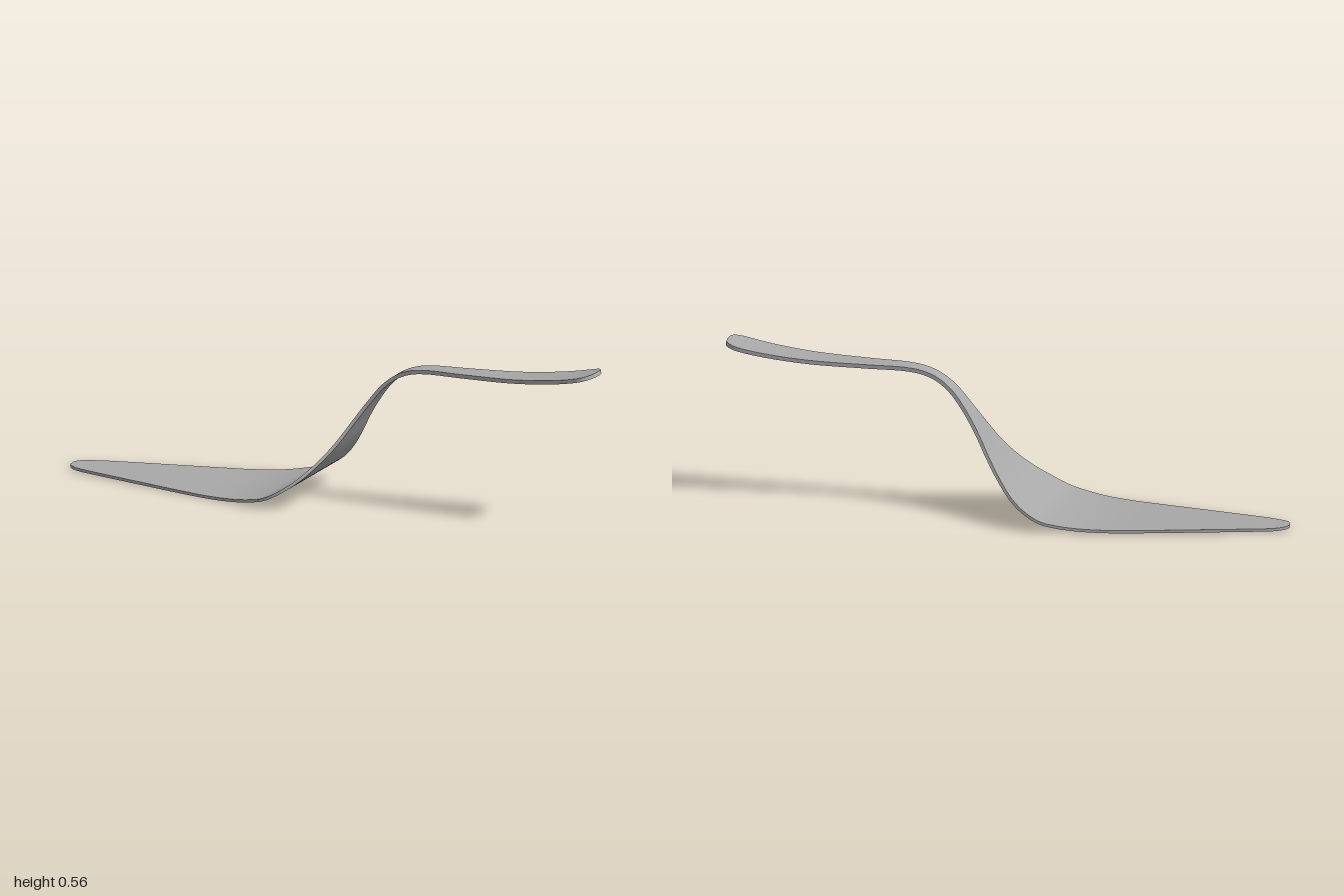
import * as THREE from 'three';

// Stations along the server: x, centreline height, half width
const STATIONS = [
  [-1, 0.012, 0], [-0.996, 0.012, 0.022], [-0.98, 0.012, 0.043], [-0.95, 0.011, 0.059], [-0.9, 0.011, 0.075],
  [-0.7, 0.009, 0.124], [-0.5, 0.007, 0.171], [-0.4, 0.007, 0.193], [-0.3, 0.012, 0.214],
  [-0.22, 0.023, 0.232], [-0.16, 0.038, 0.239], [-0.1, 0.07, 0.229], [-0.05, 0.107, 0.201],
  [0, 0.158, 0.157], [0.05, 0.222, 0.111], [0.1, 0.3, 0.071], [0.15, 0.373, 0.047], [0.2, 0.435, 0.037],
  [0.25, 0.473, 0.033], [0.3, 0.493, 0.034], [0.36, 0.502, 0.036], [0.5, 0.505, 0.044], [0.7, 0.512, 0.057],
  [0.85, 0.528, 0.067], [0.93, 0.542, 0.071], [0.965, 0.55, 0.068], [0.988, 0.556, 0.052],
  [0.997, 0.558, 0.03], [1, 0.559, 0],
];

// Smoothed stations with the upper and lower edge points of the bent sheet
function crossSections() {
  const curve = new THREE.CatmullRomCurve3(STATIONS.map(([x, y, w]) => new THREE.Vector3(x, y, w)));
  const pts = curve.getPoints(280);
  return pts.map((p, i) => {
    const a = pts[Math.max(i - 1, 0)], b = pts[Math.min(i + 1, pts.length - 1)];
    const dx = Math.max(b.x - a.x, 1e-5), dy = b.y - a.y, len = Math.hypot(dx, dy);
    const half = THREE.MathUtils.lerp(0.005, 0.007, THREE.MathUtils.smoothstep(p.x, -0.2, 0.3));
    const nx = (-dy / len) * half, ny = (dx / len) * half;
    const w = Math.max(p.z, 0);
    return {
      topLeft: [p.x + nx, p.y + ny, w], topRight: [p.x + nx, p.y + ny, -w],
      bottomLeft: [p.x - nx, p.y - ny, w], bottomRight: [p.x - nx, p.y - ny, -w],
    };
  });
}

// Smooth ribbon between two edge lines; faces outward when "from" is on its right
function ribbon(sections, from, to) {
  const positions = [], index = [];
  sections.forEach((s, i) => {
    positions.push(...s[from], ...s[to]);
    if (i === 0) return;
    const a = 2 * i - 2;
    index.push(a, a + 2, a + 1, a + 1, a + 2, a + 3);
  });
  const geometry = new THREE.BufferGeometry();
  geometry.setAttribute('position', new THREE.Float32BufferAttribute(positions, 3));
  geometry.setIndex(index);
  geometry.computeVertexNormals();
  return geometry;
}

export function createModel() {
  const steel = new THREE.MeshStandardMaterial({ color: 0xa8a8a8 });
  steel.name = 'steel';
  const model = new THREE.Group();
  model.name = 'cakeServer';
  const sections = crossSections();

  // Sheet faces and the thin rim on both sides
  const faces = {
    topFace: ['topLeft', 'topRight'],
    bottomFace: ['bottomRight', 'bottomLeft'],
    leftRim: ['bottomLeft', 'topLeft'],
    rightRim: ['topRight', 'bottomRight'],
  };
  for (const [name, [from, to]] of Object.entries(faces)) {
    const mesh = new THREE.Mesh(ribbon(sections, from, to), steel);
    mesh.name = name;
    model.add(mesh);
  }

  // Centre the server and rest it on the ground
  const box = new THREE.Box3().setFromObject(model);
  const centre = box.getCenter(new THREE.Vector3());
  model.children.forEach((m) => m.geometry.translate(-centre.x, -box.min.y, -centre.z));
  return model;
}
